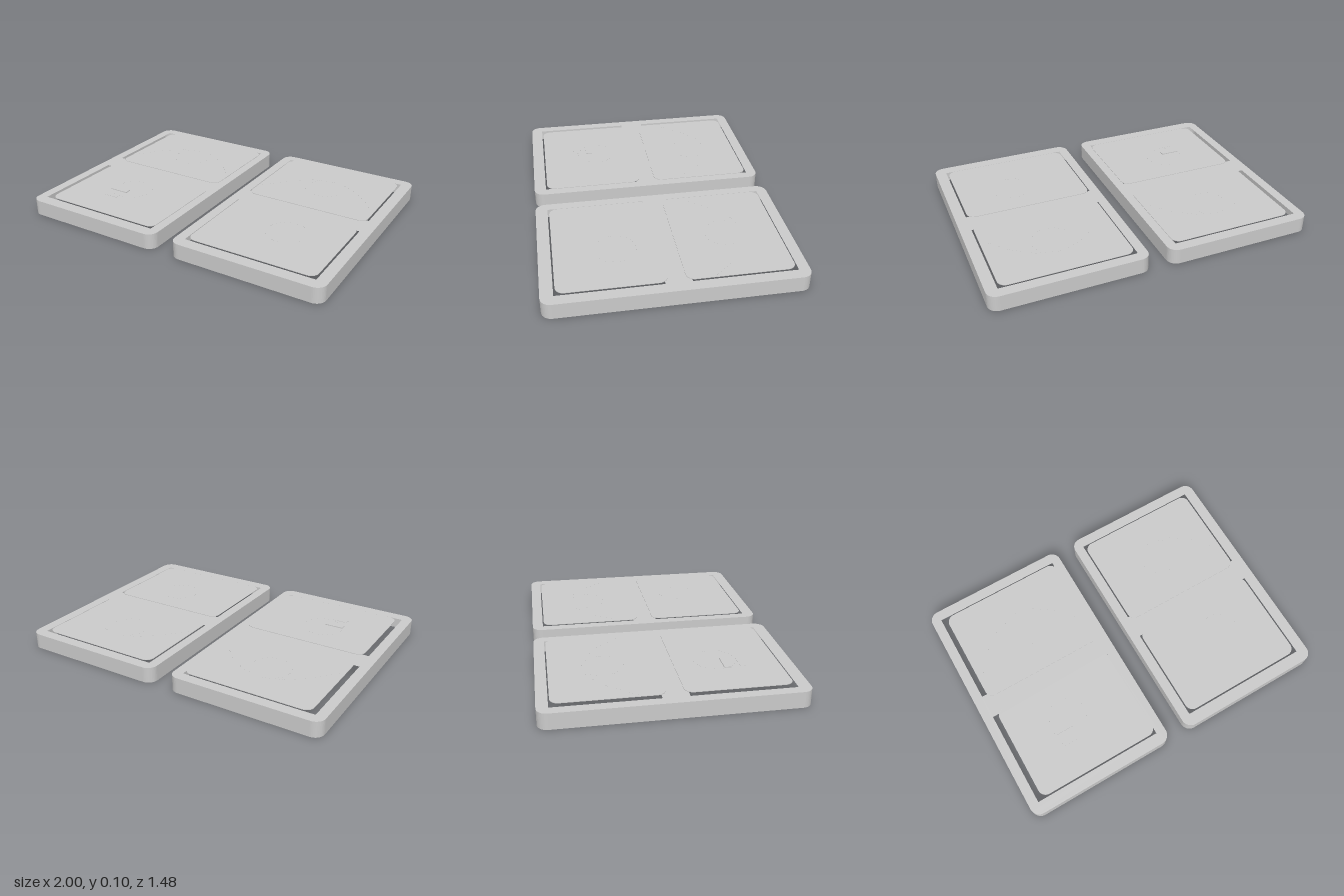
import * as THREE from 'three';

const material = new THREE.MeshStandardMaterial({ color: 0xcccccc, flatShading: true, side: THREE.DoubleSide });
const FRAME_Y = 0.096;

// Rounded rectangle on the ground plane; shape y is -z
function roundedRect(x0, x1, z0, z1, r) {
  const s = new THREE.Shape();
  s.absarc(x1 - r, -z0 - r, r, 0, Math.PI / 2);
  s.absarc(x0 + r, -z0 - r, r, Math.PI / 2, Math.PI);
  s.absarc(x0 + r, -z1 + r, r, Math.PI, Math.PI * 1.5);
  s.absarc(x1 - r, -z1 + r, r, Math.PI * 1.5, Math.PI * 2);
  return s;
}

function rectHole([x0, x1, z0, z1]) {
  return new THREE.Path([
    new THREE.Vector2(x0, -z0), new THREE.Vector2(x0, -z1),
    new THREE.Vector2(x1, -z1), new THREE.Vector2(x1, -z0)
  ]);
}

function add(group, name, geometry) {
  const mesh = new THREE.Mesh(geometry, material);
  mesh.name = name;
  group.add(mesh);
  return mesh;
}

// Horizontal slab from a shape, between two heights
function slab(shape, y0, y1) {
  return new THREE.ExtrudeGeometry(shape, { depth: y1 - y0, bevelEnabled: false, curveSegments: 6 })
    .rotateX(-Math.PI / 2).translate(0, y0, 0);
}

// Upright sheet following a closed outline
function skirt(shape, height) {
  const outline = shape.getPoints(5);
  const pos = [], index = [];
  outline.forEach((p, i) => {
    pos.push(p.x, 0, -p.y, p.x, height, -p.y);
    const a = i * 2, b = ((i + 1) % outline.length) * 2;
    index.push(a, b, a + 1, b, b + 1, a + 1);
  });
  const g = new THREE.BufferGeometry();
  g.setAttribute('position', new THREE.Float32BufferAttribute(pos, 3));
  g.setIndex(index);
  g.computeVertexNormals();
  return g;
}

// Flat ribbon bowed towards the back
function arch(cx) {
  const s = new THREE.Shape();
  s.moveTo(cx - 0.38, 0.2);
  s.quadraticCurveTo(cx, 0.76, cx + 0.38, 0.22);
  s.lineTo(cx + 0.365, 0.22);
  s.quadraticCurveTo(cx, 0.735, cx - 0.365, 0.2);
  return s;
}

function ring(cx, cz, r) {
  const s = new THREE.Shape();
  s.absarc(cx, -cz, r, 0, Math.PI * 2);
  const hole = new THREE.Path();
  hole.absarc(cx, -cz, r - 0.01, 0, Math.PI * 2, true);
  s.holes.push(hole);
  return s;
}

// One hollow cover: skirt, pierced top and two rounded panels
function makeCover({ name, x, openX, panelX, ringX }) {
  const cover = new THREE.Group();
  cover.name = name;
  const outline = roundedRect(x[0], x[1], -0.74, 0.74, 0.06);
  add(cover, 'skirt', skirt(outline, FRAME_Y));

  const top = roundedRect(x[0], x[1], -0.74, 0.74, 0.06);
  top.holes.push(rectHole([...openX, -0.675, -0.08]), rectHole([...openX, 0.07, 0.667]));
  add(cover, 'topFrame', new THREE.ShapeGeometry(top, 5).rotateX(-Math.PI / 2).translate(0, FRAME_Y, 0));

  add(cover, 'backPanel', slab(roundedRect(...panelX, -0.668, -0.05, 0.05), FRAME_Y + 0.001, 0.1));
  add(cover, 'frontPanel', slab(roundedRect(...panelX, 0.05, 0.658, 0.05), FRAME_Y + 0.001, 0.1));

  // Faint relief reaching through the panels
  const cx = (panelX[0] + panelX[1]) / 2;
  add(cover, 'backArch', slab(arch(cx), FRAME_Y, 0.1003));
  add(cover, 'backRing', slab(ring(cx, -0.36, 0.13), FRAME_Y, 0.1003));
  add(cover, 'frontRing', slab(ring(ringX, 0.3, 0.13), FRAME_Y, 0.1003));
  return cover;
}

export function createModel() {
  const model = new THREE.Group();
  model.name = 'pairedCovers';
  const rightCover = makeCover({
    name: 'rightCover', x: [-1, -0.06], openX: [-0.94, -0.12], panelX: [-0.908, -0.116], ringX: -0.54
  });
  const leftCover = makeCover({
    name: 'leftCover', x: [0.06, 1], openX: [0.12, 0.932], panelX: [0.128, 0.922], ringX: 0.58
  });

  // Small raised bars on one front panel
  add(rightCover, 'raisedBar', new THREE.BoxGeometry(0.12, 0.007, 0.04).translate(-0.6, 0.1015, 0.35));
  add(rightCover, 'lowBar', new THREE.BoxGeometry(0.1, 0.002, 0.03).translate(-0.6, 0.1005, 0.44));

  model.add(rightCover, leftCover);
  return model;
}
